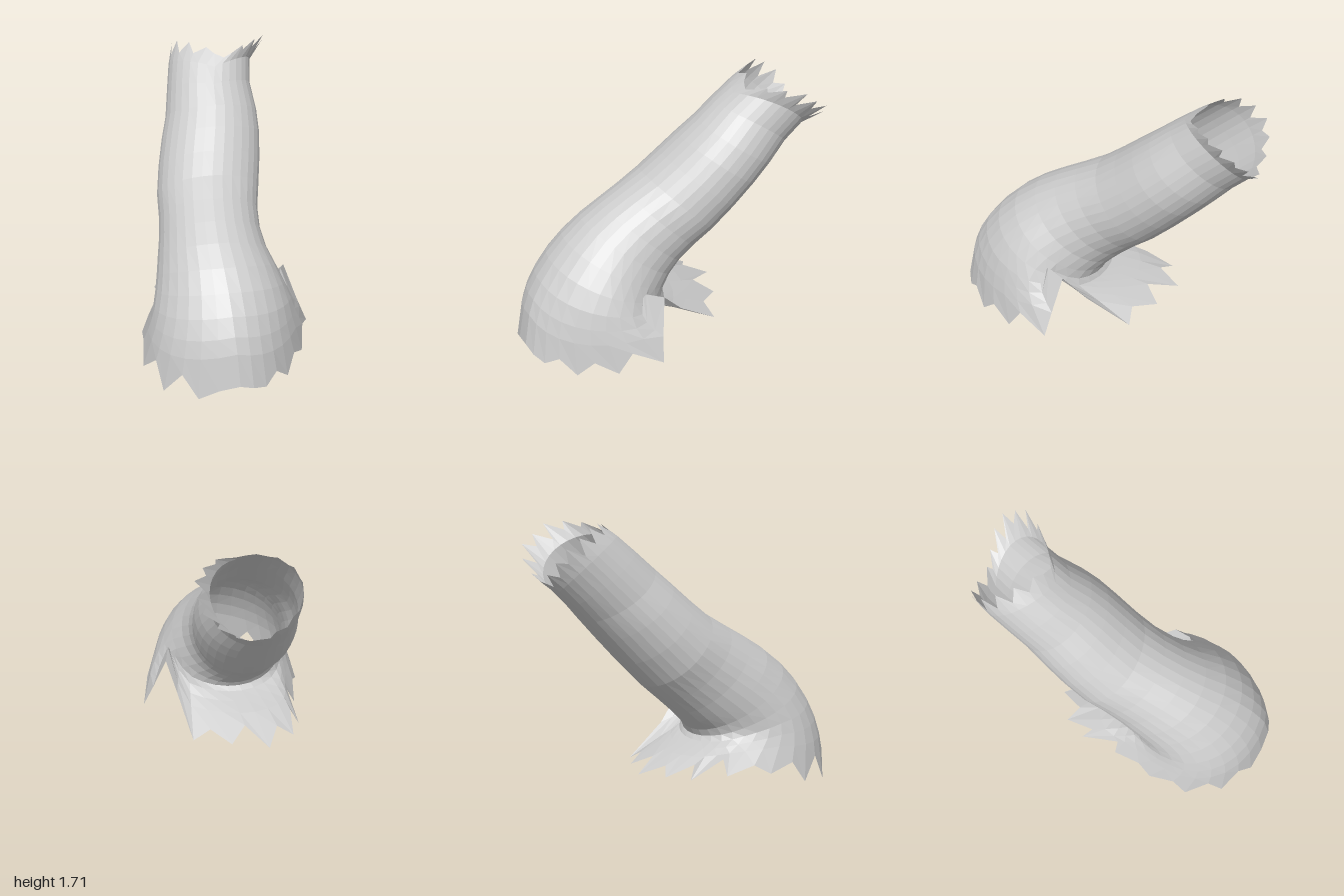
import * as THREE from 'three';

// Stations from the upper opening to the flared hem:
// front z, front y, back z, back y, min x, max x
const STATIONS = [
  [-0.55, 1.66, -0.98, 1.36, -0.17, 0.46],
  [-0.47, 1.59, -0.88, 1.26, -0.22, 0.32],
  [-0.30, 1.45, -0.75, 1.12, -0.26, 0.34],
  [-0.13, 1.30, -0.58, 0.93, -0.32, 0.34],
  [0.06, 1.13, -0.36, 0.69, -0.37, 0.30],
  [0.28, 1.00, -0.18, 0.53, -0.38, 0.26],
  [0.49, 0.88, -0.06, 0.42, -0.41, 0.28],
  [0.69, 0.73, 0.02, 0.34, -0.44, 0.35],
  [0.84, 0.56, 0.01, 0.29, -0.47, 0.41],
  [0.93, 0.40, -0.12, 0.25, -0.50, 0.46],
  [0.97, 0.25, -0.28, 0.20, -0.53, 0.52],
  [1.00, 0.08, -0.45, 0.13, -0.56, 0.56],
];
const LAST = STATIONS.length - 1;
const COLS = 32;

const spline = (pick) => new THREE.CatmullRomCurve3(
  STATIONS.map((s) => new THREE.Vector3(...pick(s))), false, 'catmullrom', 0.5);
const frontLine = spline((s) => [0, s[1], s[0]]);
const backLine = spline((s) => [0, s[3], s[2]]);
const widths = spline((s) => [s[4], s[5], 0]);

const bump = (angle, centre, width) => Math.exp(-(((angle - centre) / width) ** 2));

// Point on the sleeve: angle 0 is the front, a quarter turn is +x; s is the station
function sleevePoint(angle, s) {
  const t = s / LAST;
  const f = frontLine.getPoint(t), b = backLine.getPoint(t), w = widths.getPoint(t);
  const c = Math.cos(angle), n = Math.sin(angle);
  const p = f.clone().add(b).multiplyScalar(0.5).addScaledVector(f.sub(b), c / 2);
  p.x = (w.x + w.y) / 2 + (w.y - w.x) / 2 * n;

  // upper rim reaches further along the arm at its sides
  const top = Math.max(0, 1 - s / 2) * 0.19 * Math.abs(n);
  p.z -= 0.65 * top;
  p.y += 0.7 * top;

  // hem: front corners and back tongue lean to -x, back left is drawn in, front corners dip
  const hem = THREE.MathUtils.smoothstep(s, 6.5, LAST);
  p.x -= hem * (c > 0 ? 0.11 * c * Math.abs(n) : 0.13 * c * c);
  p.x += 0.1 * hem * bump(angle, 4.2, 0.4);
  p.y -= hem * (0.154 * Math.max(0, c) * Math.abs(n) + 0.02 * n * n);

  // fold behind the +x wall curls the hem upwards
  const fold = hem * bump(angle, 2, 0.16);
  p.x -= 0.09 * fold;
  p.y += 0.4 * fold;
  p.z += 0.2 * fold;
  return p;
}

// Small seeded random for uneven teeth
function seeded(seed) {
  return () => {
    seed = (seed * 16807) % 2147483647;
    return seed / 2147483647;
  };
}

export function createModel() {
  const rand = seeded(77);
  const positions = [], indices = [];

  // Inner rows follow the stations; the two end rows are torn into teeth
  const rows = [null];
  for (let s = 0.8; s < 9.6; s += 0.66) rows.push(s);
  rows.push(null);

  rows.forEach((row, r) => {
    for (let i = 0; i < COLS; i++) {
      let s = row;
      const notch = i % 2;
      const plain = i <= 1 || i === COLS - 1; // straight stretch at the centre front
      if (r === 0) s = plain ? 0.15 : notch ? 0.35 + 0.25 * rand() : 0.2 * rand();
      if (r === rows.length - 1) {
        s = LAST - (plain ? 0.3 : notch ? 0.7 + 0.5 * rand() : 0.3 * rand());
        if (i === 28) s = LAST; // longest tooth, touching the ground
      }
      positions.push(...sleevePoint((i / COLS) * Math.PI * 2, s).toArray());
    }
  });
  for (let r = 0; r < rows.length - 1; r++) {
    for (let i = 0; i < COLS; i++) {
      const a = r * COLS + i, b = r * COLS + (i + 1) % COLS;
      indices.push(a, a + COLS, b + COLS, a, b + COLS, b);
    }
  }

  const geometry = new THREE.BufferGeometry();
  geometry.setAttribute('position', new THREE.Float32BufferAttribute(positions, 3));
  geometry.setIndex(indices);
  geometry.computeVertexNormals();

  const sleeve = new THREE.Mesh(geometry, new THREE.MeshStandardMaterial({
    color: 0xcccccc, flatShading: true, side: THREE.DoubleSide,
  }));
  sleeve.name = 'tornSleeve';

  const group = new THREE.Group();
  group.name = 'sleeve';
  group.add(sleeve);
  return group;
}
